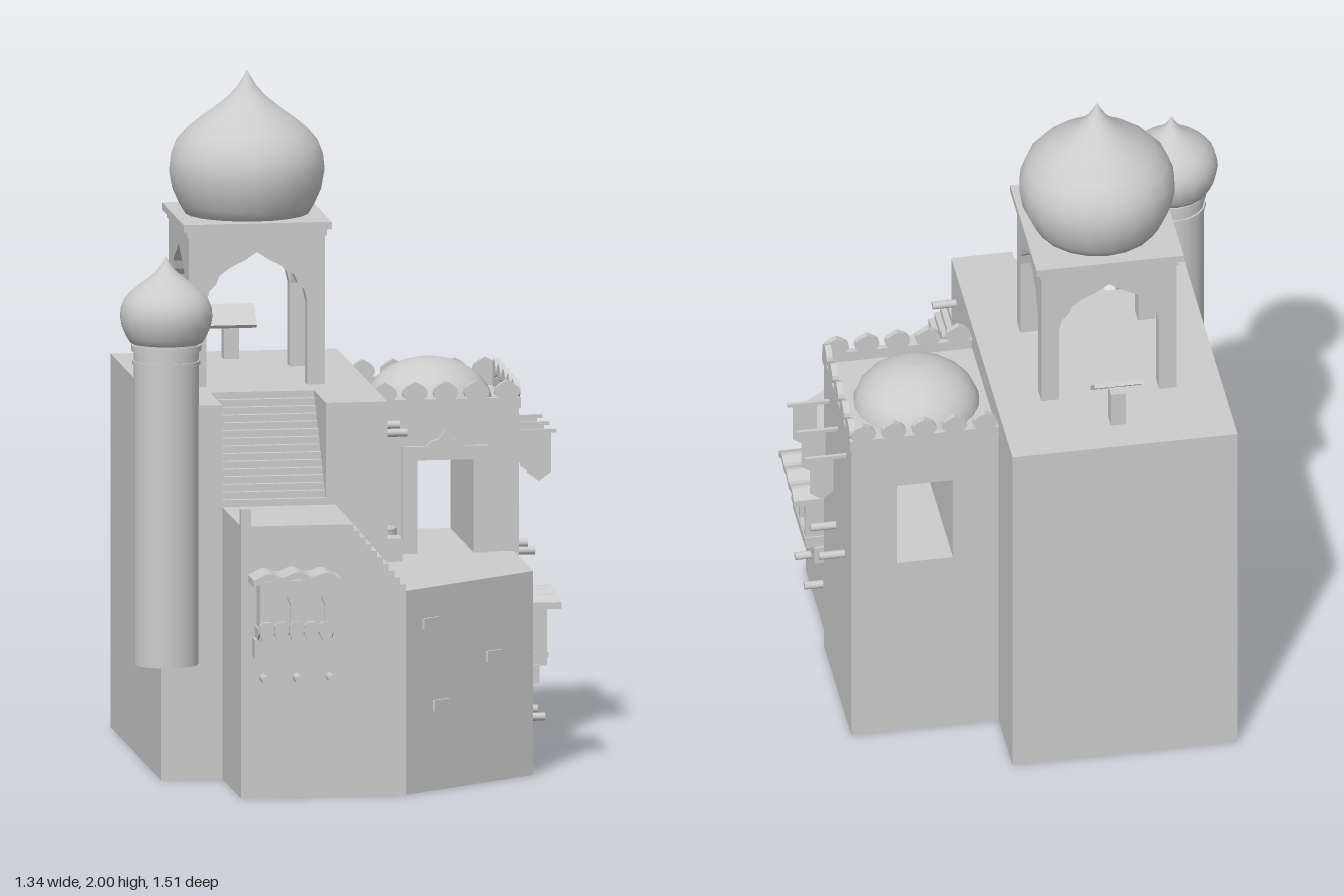
import * as THREE from 'three';

const mat = new THREE.MeshStandardMaterial({ color: 0xcccccc, side: THREE.DoubleSide });

function add(parent, name, geo, x = 0, y = 0, z = 0) {
  const m = new THREE.Mesh(geo, mat);
  m.name = name;
  m.position.set(x, y, z);
  parent.add(m);
  return m;
}
const toShape = (pts) => new THREE.Shape(pts.map(([x, y]) => new THREE.Vector2(x, y)));

// Extrude an x,y outline along +z
function extrude(pts, depth, holes = []) {
  const s = toShape(pts);
  holes.forEach((h) => s.holes.push(toShape(h)));
  return new THREE.ExtrudeGeometry(s, { depth, bevelEnabled: false });
}
// Upright prism from an x,z ground plan
const prism = (pts, h) => extrude(pts.map(([x, z]) => [x, -z]), h).rotateX(-Math.PI / 2);
// Extrude a z,y profile along +x
const sideways = (pts, w) => extrude(pts.map(([z, y]) => [-z, y]), w).rotateY(Math.PI / 2);
const box = (w, h, d) => new THREE.BoxGeometry(w, h, d);
const lathe = (pts, sides) =>
  new THREE.LatheGeometry(pts.map(([r, y]) => new THREE.Vector2(r, y)), sides);

// Hollow shell: leave out every triangle whose three corners pass one of the tests
function shell(geo, ...tests) {
  const p = geo.attributes.position;
  const kept = [];
  for (let i = 0; i < p.count; i += 3) {
    const tri = [0, 1, 2].map((k) => new THREE.Vector3().fromBufferAttribute(p, i + k));
    if (!tests.some((t) => tri.every(t))) tri.forEach((v) => kept.push(v));
  }
  const out = new THREE.BufferGeometry().setFromPoints(kept);
  out.computeVertexNormals();
  return out;
}
const bottom = (v) => v.y < 0.001;

// Staircase outline from (a0, y0) down to (a1, y1)
function steps(a0, y0, a1, y1, n) {
  const pts = [];
  for (let i = 0; i < n; i++) {
    const y = y0 + ((y1 - y0) * i) / n;
    pts.push([a0 + ((a1 - a0) * i) / n, y], [a0 + ((a1 - a0) * (i + 1)) / n, y]);
  }
  return pts;
}

// Onion dome with radius r and height h, standing on y = 0
function onion(r, h, sides) {
  const profile = [[0, 0], [0.79, 0], [0.87, 0.07], [0.96, 0.18], [1, 0.3], [0.98, 0.4], [0.91, 0.5],
    [0.77, 0.59], [0.59, 0.67], [0.41, 0.74], [0.25, 0.81], [0.13, 0.88], [0.06, 0.94], [0, 1]];
  return lathe(profile.map(([a, b]) => [a * r, b * h]), sides);
}

// Pavilion: four arched walls, stepped slab and onion dome
function pavilion() {
  const g = new THREE.Group();
  g.name = 'pavilion';
  const right = [[0.2, 0], [0.2, 0.45]];
  const arch = [[0.148, 0], [0.148, 0.245], [0.14, 0.28], [0.12, 0.3], [0.11, 0.325], [0.08, 0.348], [0.035, 0.37]];
  const flip = (pts) => pts.map(([x, y]) => [-x, y]);
  const wall = [...right, ...flip(right).reverse(), ...flip(arch), [0, 0.393], ...arch.slice().reverse()];
  for (let i = 0; i < 4; i++) {
    const w = new THREE.Group();
    w.name = 'archWall';
    w.rotation.y = (i * Math.PI) / 2;
    add(w, 'arch', extrude(wall, 0.05), 0, 0, 0.15);
    g.add(w);
  }
  add(g, 'slab', box(0.41, 0.02, 0.41), 0, 0.448, 0);
  add(g, 'cornice', box(0.435, 0.022, 0.435), 0, 0.469, 0);
  add(g, 'dome', onion(0.228, 0.42, 20), 0, 0.48, 0);
  return g;
}

// Bay window facing +z, its bottom at y = 0
function bayWindow(withBalusters) {
  const g = new THREE.Group();
  g.name = 'bayWindow';
  const archHole = (c) => [[c - 0.036, 0.095], [c + 0.036, 0.095], [c + 0.036, 0.155],
    [c + 0.026, 0.18], [c, 0.2], [c - 0.026, 0.18], [c - 0.036, 0.155]];
  add(g, 'screen', extrude([[-0.105, 0.05], [0.105, 0.05], [0.105, 0.23], [-0.105, 0.23]], 0.02,
    [archHole(-0.05), archHole(0.05)]), 0, 0, 0.062);
  add(g, 'body', box(0.21, 0.18, 0.066), 0, 0.14, 0.03);
  add(g, 'corbel', box(0.235, 0.055, 0.058), 0, 0.0275, 0.029);
  add(g, 'sill', sideways([[0, 0.055], [0.058, 0.055], [0.085, 0.075], [0.085, 0.09], [0, 0.09]], 0.22), -0.11);
  const top = [];
  for (let i = 0; i <= 20; i++) {
    const t = i / 10 - 1;
    top.push([t * 0.13, 0.254 + 0.007 * Math.cos(t * 9.4) - 0.008 * t * t]);
  }
  const under = top.map(([x, y]) => [x, y - 0.02]).reverse();
  add(g, 'roof', extrude([...top, ...under], 0.12));
  if (withBalusters) {
    for (let i = 0; i < 5; i++) {
      add(g, 'baluster', extrude([[-0.012, 0.055], [0.012, 0.055], [0.02, 0.08], [0.02, 0.1], [0.01, 0.11],
        [-0.01, 0.11], [-0.02, 0.1], [-0.02, 0.08]], 0.014), -0.088 + i * 0.044, 0, 0.08);
    }
  }
  return g;
}

export function createModel() {
  const model = new THREE.Group();
  model.name = 'palace';

  // Main block, hollow and open below, with a notch for the upper stairs
  add(model, 'mainBlock', shell(prism([[-0.555, -0.753], [0.11, -0.753], [0.11, 0.26], [-0.555, 0.26]], 0.8),
    bottom, (v) => v.y > 0.799));
  add(model, 'mainBlockTop', shell(prism([[-0.555, -0.753], [0.11, -0.753], [0.11, 0.26], [-0.07, 0.26],
    [-0.07, 0.02], [-0.375, 0.02], [-0.375, 0.26], [-0.555, 0.26]], 0.3), bottom), 0, 0.8, 0);
  add(model, 'upperStairs', shell(sideways([[0.02, 0], ...steps(0.02, 0.28, 0.26, 0, 14), [0.26, 0]], 0.305), bottom),
    -0.375, 0.8, 0);

  // Landing, lower stairs and terrace form one hollow space
  add(model, 'landing', shell(extrude([[-0.375, 0], [-0.375, 0.8], ...steps(-0.06, 0.8, 0.11, 0.6, 10),
    [0.11, 0.6], [0.11, 0]], 0.375), bottom, (v) => v.x > 0.109 && v.y < 0.601, (v) => v.z < 0.001), 0, 0, 0.26);
  add(model, 'cornerPost', prism([[-0.375, 0.605], [-0.345, 0.635], [-0.375, 0.635]], 0.05), 0, 0.8, 0);
  add(model, 'terrace', shell(prism([[0.11, -0.07], [0.53, -0.07], [0.53, 0.315], [0.11, 0.635]], 0.6),
    bottom, (v) => v.x < 0.111, (v) => v.z < -0.069));

  // Square tower with a passage, hollow below the passage floor
  const tower = new THREE.Group();
  tower.name = 'squareTower';
  model.add(tower);
  add(tower, 'towerWalls', shell(extrude([[0.11, 0], [0.545, 0], [0.545, 1.02], [0.11, 1.02]], 0.455,
    [[[0.245, 0.6], [0.41, 0.6], [0.41, 0.875], [0.245, 0.875]]]), bottom, (v) => v.x < 0.111), 0, 0, -0.525);
  add(tower, 'doorFrame', extrude([[0.2, 0.6], [0.245, 0.6], [0.245, 0.875], [0.41, 0.875], [0.41, 0.6], [0.455, 0.6],
    [0.455, 0.915], [0.385, 0.915], [0.37, 0.93], [0.35, 0.935], [0.328, 0.962], [0.306, 0.935], [0.286, 0.93],
    [0.271, 0.915], [0.2, 0.915]], 0.015), 0, 0, -0.07);
  const dome = [];
  for (let i = 0; i <= 8; i++) {
    const a = (i / 8) * Math.PI / 2;
    dome.push([0.187 * Math.cos(a), 0.14 * Math.sin(a)]);
  }
  add(tower, 'lowDome', lathe(dome, 20), 0.315, 1.0, -0.31);

  // Parapet with leaf-shaped merlons on three sides
  const leaf = [[-0.024, 0], [0.024, 0], [0.034, 0.009], [0.037, 0.02], [0.033, 0.032], [0.02, 0.043], [0, 0.053],
    [-0.02, 0.043], [-0.033, 0.032], [-0.037, 0.02], [-0.034, 0.009]];
  const parapet = (len, x, z, turn) => {
    const p = new THREE.Group();
    p.name = 'parapet';
    p.position.set(x, 1.02, z);
    p.rotation.y = turn;
    add(p, 'parapetWall', box(len, 0.032, 0.018), 0, 0.016, -0.009);
    for (let i = 0; i < 5; i++) add(p, 'merlon', extrude(leaf, 0.018), (i - 2) * len * 0.205, 0.03, -0.018);
    tower.add(p);
  };
  parapet(0.44, 0.33, -0.067, 0);
  parapet(0.44, 0.33, -0.528, Math.PI);
  parapet(0.46, 0.55, -0.2975, Math.PI / 2);

  // Thin pennants on poles
  for (const z of [-0.16, -0.3, -0.435]) {
    add(tower, 'pennantPole', box(0.125, 0.01, 0.01), 0.605, 0.938, z);
    add(tower, 'pennant', new THREE.ShapeGeometry(toShape(
      [[0.582, 0.935], [0.582, 0.815], [0.617, 0.79], [0.652, 0.815], [0.652, 0.935]])), 0, 0, z);
  }

  // Beam ends sticking out of the walls
  const beam = (x, y, z, len, alongX) => {
    const c = new THREE.CylinderGeometry(0.012, 0.012, len, 10);
    add(model, 'beamEnd', alongX ? c.rotateZ(Math.PI / 2) : c.rotateX(Math.PI / 2), x, y, z);
  };
  for (const z of [-0.265, -0.41]) beam(0.575, 0.57, z, 0.09, true);
  for (const z of [0.03, 0.18]) {
    beam(0.55, 0.15, z, 0.07, true);
    beam(0.14, 0.995, z, 0.08, true);
  }
  for (const x of [-0.31, -0.212, -0.115]) beam(x, 0.355, 0.66, 0.07, false);

  // Loose bricks on the slanted wall
  for (const [x, y] of [[0.19, 0.495], [0.4, 0.37], [0.225, 0.25]]) {
    const z = 0.635 - ((x - 0.11) * 0.32) / 0.42;
    add(model, 'brick', box(0.065, 0.032, 0.016), x, y, z).rotation.y = Math.atan2(0.32, 0.42);
  }

  // Bay windows
  const front = bayWindow(true);
  front.position.set(-0.225, 0.42, 0.633);
  const side = bayWindow(false);
  side.position.set(0.505, 0.255, 0.105);
  side.rotation.y = Math.PI / 2;
  model.add(front, side);

  // Crate and barrel on the terrace
  add(model, 'crate', box(0.07, 0.068, 0.07), 0.145, 0.634, 0.048);
  add(model, 'barrel', new THREE.CylinderGeometry(0.034, 0.034, 0.08, 14), 0.145, 0.64, -0.034);
  add(model, 'barrelRim', new THREE.TorusGeometry(0.03, 0.006, 6, 14).rotateX(Math.PI / 2), 0.145, 0.68, -0.034);

  // Domed pavilion on the roof
  const pav = pavilion();
  pav.position.set(-0.222, 1.1, -0.291);
  model.add(pav);

  // Lectern at the back of the roof
  add(model, 'lecternPost', box(0.045, 0.11, 0.045), -0.222, 1.155, -0.625);
  add(model, 'lecternTop', box(0.143, 0.012, 0.088), -0.222, 1.224, -0.62).rotation.x = 0.65;

  // Round corner turret
  const turret = new THREE.Group();
  turret.name = 'cornerTurret';
  turret.position.set(-0.537, 0, 0.24);
  model.add(turret);
  const drum = (name, r, y0, y1) => add(turret, name, new THREE.CylinderGeometry(r, r, y1 - y0, 18), 0, (y0 + y1) / 2, 0);
  drum('shaft', 0.095, 0.34, 1.29);
  drum('lowerRing', 0.1, 1.222, 1.234);
  drum('upperRing', 0.102, 1.262, 1.28);
  add(turret, 'turretDome', onion(0.135, 0.253, 18), 0, 1.287, 0);

  return model;
}
